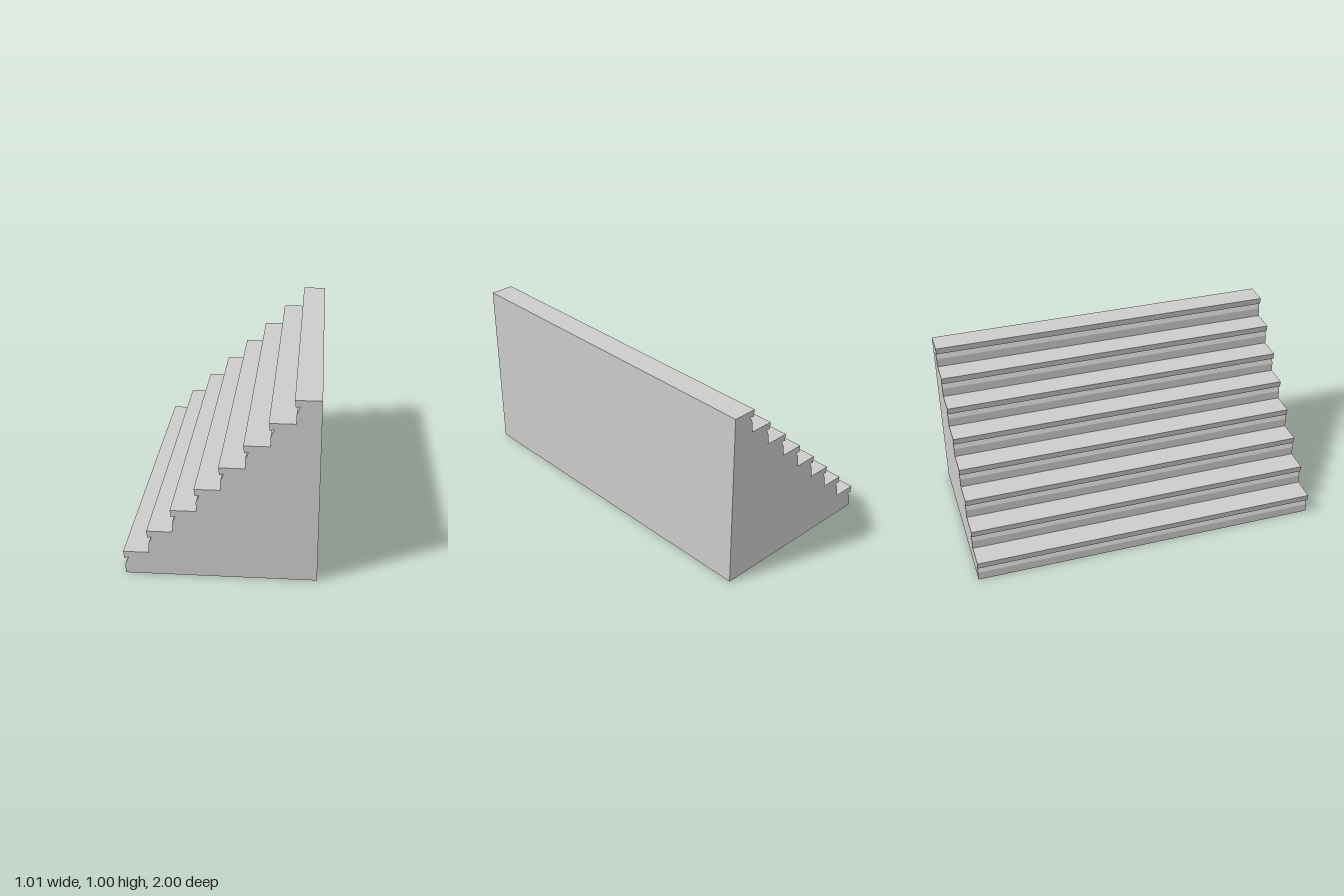
import * as THREE from 'three';

const STEPS = 8;
const STEP = 0.125; // rise and tread depth
const LENGTH = 2;
const BACK = 0.505;

// One step's edge, from the riser's foot up to the lip of the tread
const STEP_EDGE = [
  [-0.495, 0],
  [-0.495, 0.051],
  [-0.478, 0.092],
  [-0.5, 0.087],
  [-0.505, 0.125],
];

export function createModel() {
  const group = new THREE.Group();
  group.name = 'staircase';

  // Side profile: the step edge repeated up the flight, closed by the tall back wall
  const points = [new THREE.Vector2(BACK, 0)];
  for (let i = 0; i < STEPS; i++) {
    for (const [x, y] of STEP_EDGE) {
      points.push(new THREE.Vector2(x + i * STEP, y + i * STEP));
    }
  }
  points.push(new THREE.Vector2(BACK, STEPS * STEP));

  const geometry = new THREE.ExtrudeGeometry(new THREE.Shape(points), {
    depth: LENGTH,
    bevelEnabled: false,
  });
  geometry.translate(0, 0, -LENGTH / 2);

  const material = new THREE.MeshStandardMaterial({ color: 0xcccccc, flatShading: true });
  const stairs = new THREE.Mesh(geometry, material);
  stairs.name = 'solidSteps';
  group.add(stairs);
  return group;
}
